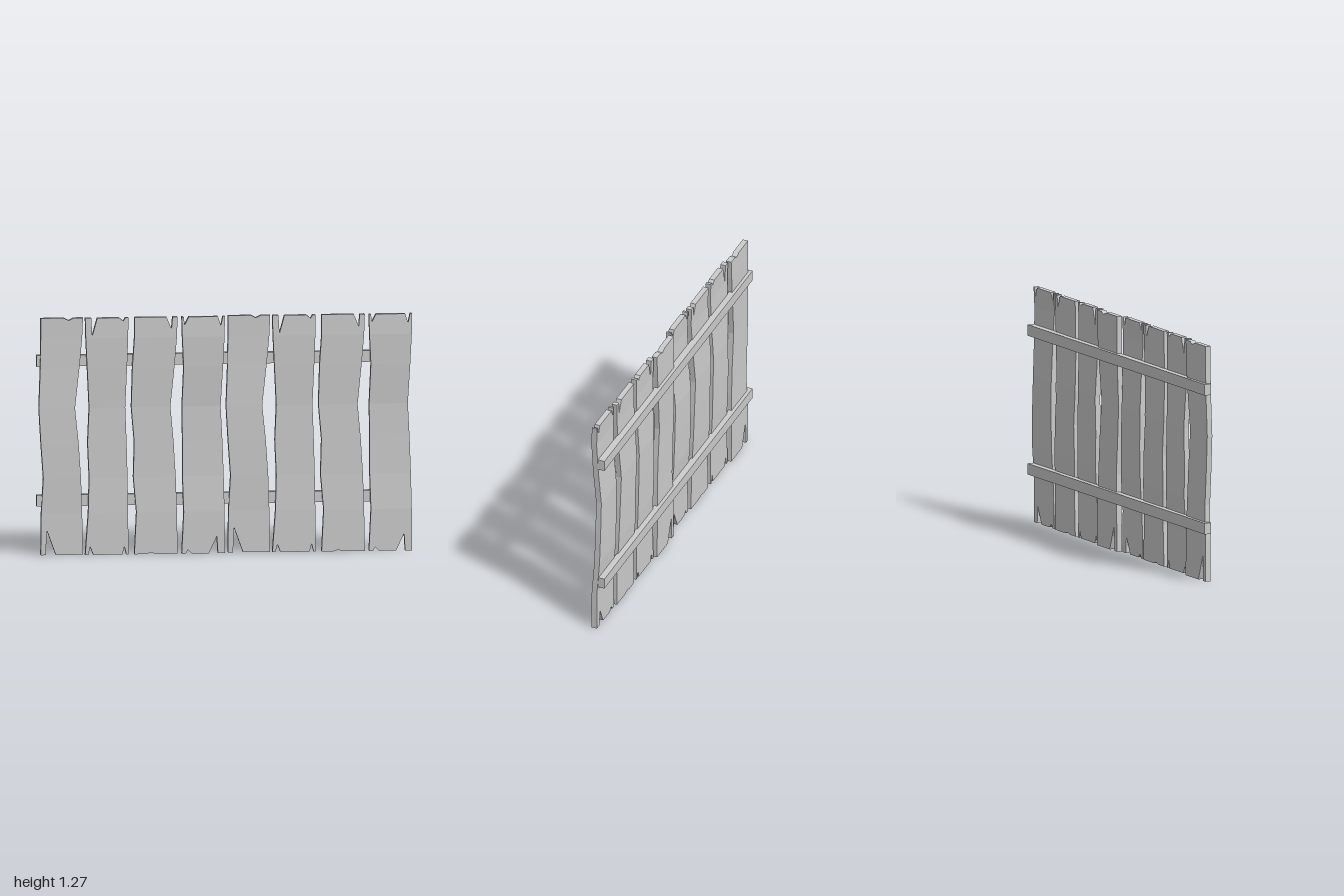
import * as THREE from 'three';
import { mergeGeometries } from 'three/addons/utils/BufferGeometryUtils.js';

// Plank outlines are drafted in small units (187 per model unit), from the fence's left end.
const UNIT = 187, HEIGHT = 237, MID = 187, RUN = 186.5, THICK = 0.03;

// Heights at which every plank bends, top to bottom
const LEVELS = [217, 187, 147, 112, 77, 42];
const KNOTS = [HEIGHT, ...LEVELS, 0];
// Shared curves along the plank: waist of the right edge, and front-to-back warp
const WAIST = [0.1, 0.45, 1, 0.55, 0.25, 0.1];
const WARP = [0.9, 1.1, 0.8, 0.1, 0.1, 0.3, 1, 1];

// x0/x1: ends, sway: left edge offsets, waist/warp: strength of the shared curves,
// chips: [start, tip, end, depth] cut into the top and bottom ends
const PLANKS = [
  { x0: 4, x1: 46, sway: [0, -0.5, -2, 0, 2.5, 0.5], waist: 8, warp: -0.005,
    topChips: [[27, 32, 37, 2.5]], bottomChips: [[9, 10, 19, 25]] },
  { x0: 48, x1: 91, sway: [0.5, 2, 4, 2.5, 4, 3], waist: 3, warp: 0.011,
    topChips: [[54, 55, 60, 18], [82, 86, 88, 3.5]],
    bottomChips: [[51, 53, 56, 8], [85, 87, 89, 8]] },
  { x0: 97, x1: 140, sway: [0, -2, -3, 0, -1, 2], waist: 7, warp: 0.011,
    topChips: [[129, 134, 135, 12]], bottomChips: [[109, 113, 119, 1.5]] },
  { x0: 144, x1: 187, sway: [0.5, 2, 0.5, 1, 1, 2], waist: 4, warp: 0.019,
    topChips: [[146, 147, 151, 8], [180, 183, 185, 9]],
    bottomChips: [[148, 150, 154, 4], [171, 179, 180, 17]] },
];

const toModel = ([x, y]) => new THREE.Vector2((x - MID) / UNIT, y / UNIT);

// Plank end from left to right; dir is -1 for chips cut downwards, +1 for upwards
function endProfile(x0, x1, y, chips, dir) {
  const cuts = chips.flatMap(([a, tip, b, depth]) => [[a, y], [tip, y + dir * depth], [b, y]]);
  return [[x0, y], ...cuts, [x1, y]];
}

// Piecewise linear warp between the knots
function warpAt(y) {
  let i = 0;
  while (i < KNOTS.length - 2 && y < KNOTS[i + 1]) i++;
  const t = (KNOTS[i] - y) / (KNOTS[i] - KNOTS[i + 1]);
  return THREE.MathUtils.lerp(WARP[i], WARP[i + 1], t);
}

// One face of a band, at the front or turned to the back
function bandFace(band, back) {
  const geo = new THREE.ShapeGeometry(new THREE.Shape(band.map(toModel)));
  if (back) geo.index.array.reverse();
  return geo.translate(0, 0, back ? -THICK / 2 : THICK / 2).toNonIndexed();
}

function plankGeometry({ x0, x1, sway, waist, warp, topChips, bottomChips }) {
  const top = endProfile(x0, x1, HEIGHT, topChips, -1);
  const bottom = endProfile(x0, x1, 0, bottomChips, 1).reverse();
  const left = LEVELS.map((y, i) => [x0 + sway[i], y]);
  const right = LEVELS.map((y, i) => [x1 - waist * WAIST[i], y]);

  // Faces are cut into bands so that they fold exactly at the knots
  const last = LEVELS.length - 1;
  const bands = [[...top, right[0], left[0]], [left[last], right[last], ...bottom]];
  for (let i = 0; i < last; i++) bands.push([left[i], right[i], right[i + 1], left[i + 1]]);
  const parts = bands.flatMap((band) => [bandFace(band, false), bandFace(band, true)]);

  // Edge walls around the whole outline
  const loop = [...top, ...right, ...bottom, ...left.reverse()].map(toModel);
  const h = THICK / 2;
  const corners = loop.flatMap((a, i) => {
    const b = loop[(i + 1) % loop.length];
    return [a.x, a.y, h, b.x, b.y, h, b.x, b.y, -h, a.x, a.y, h, b.x, b.y, -h, a.x, a.y, -h];
  });
  const walls = new THREE.BufferGeometry();
  walls.setAttribute('position', new THREE.Float32BufferAttribute(corners, 3));
  parts.push(walls);

  for (const part of parts) part.deleteAttribute('uv').deleteAttribute('normal');
  const geo = mergeGeometries(parts);
  const p = geo.attributes.position;
  for (let i = 0; i < p.count; i++) p.setZ(i, p.getZ(i) + warp * warpAt(p.getY(i) * UNIT));
  geo.computeVertexNormals();
  return geo;
}

export function createModel() {
  const group = new THREE.Group();
  group.name = 'woodenFence';
  const wood = new THREE.MeshStandardMaterial({ color: 0xcccccc, flatShading: true });

  // Two runs of the four planks
  PLANKS.map(plankGeometry).forEach((geo, i) => {
    for (let run = 0; run < 2; run++) {
      const plank = new THREE.Mesh(geo, wood);
      plank.name = `plank${run * PLANKS.length + i + 1}`;
      plank.position.x = (run * RUN) / UNIT;
      group.add(plank);
    }
  });

  // Horizontal rails behind the planks
  for (const [name, y] of [['lowerRail', 0.29], ['upperRail', 1.038]]) {
    const rail = new THREE.Mesh(new THREE.BoxGeometry(1.99, 0.06, 0.037), wood);
    rail.name = name;
    rail.position.set(-0.005, y, -0.0185);
    group.add(rail);
  }
  return group;
}
